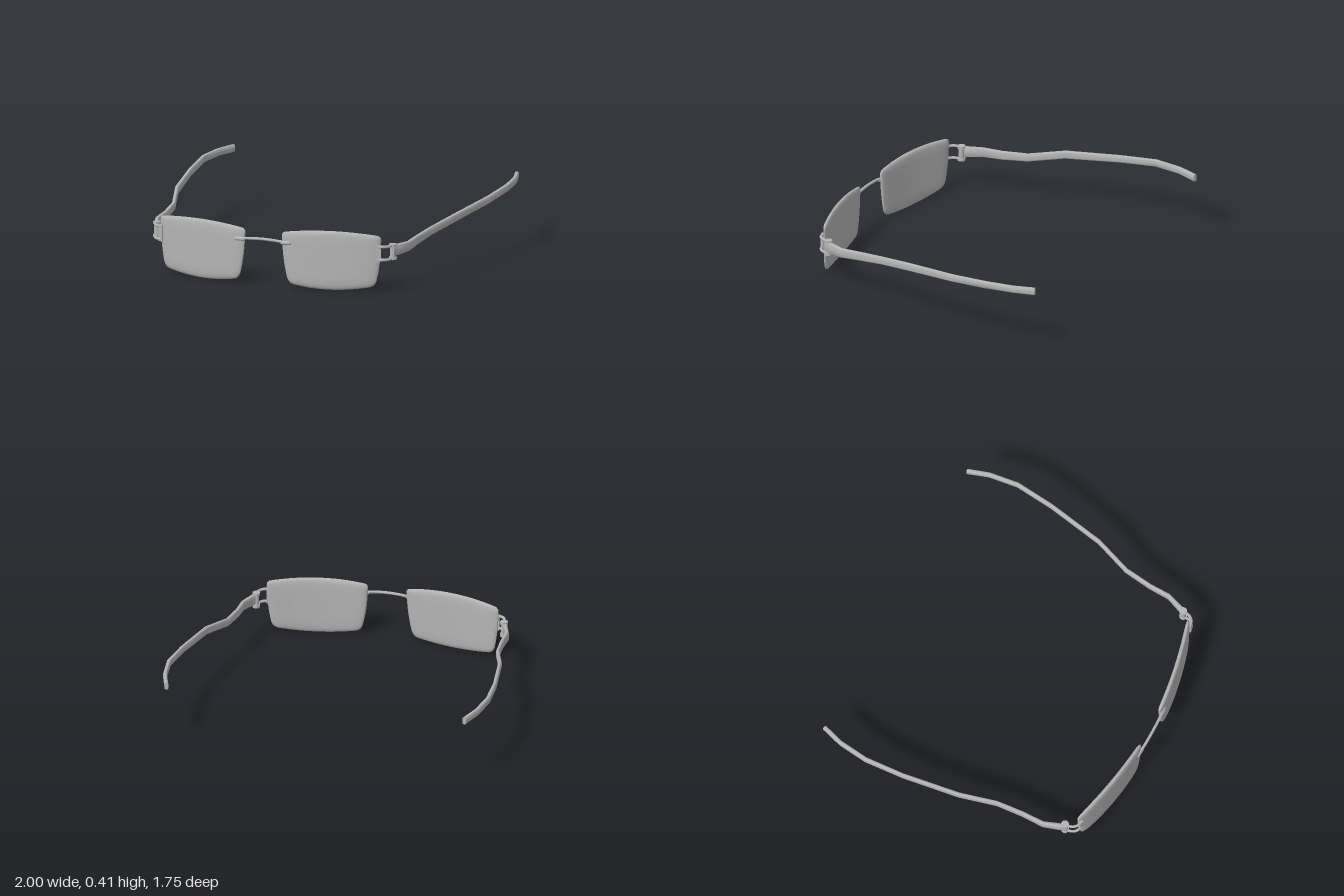
import * as THREE from 'three';
import { toCreasedNormals } from 'three/addons/utils/BufferGeometryUtils.js';

const V = (x, y, z) => new THREE.Vector3(x, y, z);

// Closed skin over rings of points, each anticlockwise seen from +z, running towards -z
function loft(rings) {
  const n = rings[0].length, m = rings.length, pos = [], idx = [];
  rings.forEach((r) => r.forEach((p) => pos.push(p.x, p.y, p.z)));
  for (const r of [rings[0], rings[m - 1]]) {
    const c = V(0, 0, 0);
    r.forEach((p) => c.addScaledVector(p, 1 / n));
    pos.push(c.x, c.y, c.z);
  }
  for (let j = 0; j < n; j++) {
    const k = (j + 1) % n;
    for (let i = 0; i < m - 1; i++) {
      const a = i * n + j, b = i * n + k;
      idx.push(a, a + n, b, b, a + n, b + n);
    }
    idx.push(m * n, j, k, m * n + 1, (m - 1) * n + k, (m - 1) * n + j);
  }
  const g = new THREE.BufferGeometry();
  g.setAttribute('position', new THREE.Float32BufferAttribute(pos, 3));
  g.setIndex(idx);
  g.computeVertexNormals();
  return g;
}

// Copy to the other side in x, with the corner order turned round again
function mirrored(g) {
  const m = g.clone().scale(-1, 1, 1), ix = m.index.array;
  for (let i = 0; i < ix.length; i += 3) [ix[i], ix[i + 1]] = [ix[i + 1], ix[i]];
  return m;
}

const wire = (points, radius, segs = 20) =>
  new THREE.TubeGeometry(new THREE.CatmullRomCurve3(points), segs, radius, 8);

// Front wrap of the glasses
const wrapZ = (x) => 0.853 - 0.225 * x * x;

function lensGeometry() {
  const s = new THREE.Shape();
  s.moveTo(0.19, 0.026);
  s.quadraticCurveTo(0.41, -0.015, 0.645, 0.028);
  s.quadraticCurveTo(0.685, 0.036, 0.693, 0.075);
  s.quadraticCurveTo(0.718, 0.2, 0.718, 0.325);
  s.quadraticCurveTo(0.718, 0.345, 0.695, 0.348);
  s.quadraticCurveTo(0.41, 0.388, 0.14, 0.346);
  s.quadraticCurveTo(0.118, 0.343, 0.119, 0.325);
  s.quadraticCurveTo(0.123, 0.18, 0.148, 0.08);
  s.quadraticCurveTo(0.157, 0.033, 0.19, 0.026);
  const outline = s.getSpacedPoints(96).slice(0, -1);
  // [scale of outline, offset from mid surface]
  const half = [[0.02, 0.012], [0.3, 0.012], [0.6, 0.012], [0.82, 0.011], [0.92, 0.008], [0.97, 0.004], [0.993, 0]];
  const back = half.map(([k, d]) => [k, -d - 0.008]).reverse();
  return loft([...half, [1, -0.004], ...back].map(([k, d]) => outline.map((p) => {
    const x = 0.415 + (p.x - 0.415) * k, y = 0.19 + (p.y - 0.19) * k;
    return V(x, y, wrapZ(x) + d);
  })));
}

function templeGeometry() {
  // x, centre y, z, half width, half height
  const stations = [
    [0.77, 0.25, 0.685, 0.012, 0.03], [0.785, 0.251, 0.64, 0.014, 0.034],
    [0.818, 0.257, 0.55, 0.012, 0.03], [0.82, 0.268, 0.42, 0.011, 0.028],
    [0.838, 0.288, 0.25, 0.011, 0.025], [0.91, 0.333, 0.03, 0.011, 0.025],
    [0.968, 0.368, -0.32, 0.011, 0.023], [0.988, 0.392, -0.56, 0.012, 0.022],
    [0.965, 0.397, -0.74, 0.012, 0.022], [0.922, 0.397, -0.872, 0.012, 0.023],
  ];
  const pts = stations.map(([x, y, z]) => V(x, y, z));
  return loft(stations.map(([x, y, z, w, h], i) => {
    const t = pts[Math.min(i + 1, pts.length - 1)].clone().sub(pts[Math.max(i - 1, 0)]);
    const side = V(-t.z, 0, t.x).normalize();
    const ring = [];
    for (let j = 0; j < 16; j++) {
      const a = (j / 16) * Math.PI * 2, c = Math.cos(a), q = Math.sin(a);
      const u = Math.sign(c) * Math.abs(c) ** 0.5 * w, v = Math.sign(q) * Math.abs(q) ** 0.5 * h;
      ring.push(V(x + side.x * u, y + v, z + side.z * u));
    }
    return ring;
  }));
}

export function createModel() {
  const model = new THREE.Group();
  const grey = new THREE.MeshStandardMaterial({ color: 0xb4b4b4 });
  grey.name = 'plain grey';
  const add = (name, g, crease = 0.8) => {
    const mesh = new THREE.Mesh(toCreasedNormals(g, crease), grey);
    mesh.name = name;
    model.add(mesh);
  };
  const pair = (name, g, crease) => {
    add('left' + name, g, crease);
    add('right' + name, mirrored(g), crease);
  };

  pair('Lens', lensGeometry(), 1.5);
  pair('Temple', templeGeometry());

  // Nose bridge with flat mounts on the lenses
  add('bridge', wire([V(-0.15, 0.281, 0.856), V(-0.1, 0.287, 0.862), V(0, 0.292, 0.865),
    V(0.1, 0.287, 0.862), V(0.15, 0.281, 0.856)], 0.009, 32));
  pair('BridgeMount', new THREE.CapsuleGeometry(0.012, 0.045, 4, 10)
    .rotateZ(Math.PI / 2).rotateY(0.07).translate(0.148, 0.279, 0.857));

  // Hinge: lens clip, two wires and a pivot at the temple
  pair('LensClip', new THREE.BoxGeometry(0.026, 0.1, 0.014).rotateY(0.3).translate(0.709, 0.241, 0.75));
  for (const [name, y] of [['UpperHingeWire', 0.283], ['LowerHingeWire', 0.203]]) {
    pair(name, wire([V(0.705, y, 0.752), V(0.738, y, 0.742), V(0.76, y, 0.715), V(0.767, y, 0.67)], 0.009));
    pair(name + 'Eye', new THREE.CylinderGeometry(0.024, 0.024, 0.016, 16).translate(0.767, y, 0.672));
  }
  pair('HingePivot', new THREE.CylinderGeometry(0.018, 0.018, 0.09, 16).translate(0.767, 0.243, 0.672));

  return model;
}
